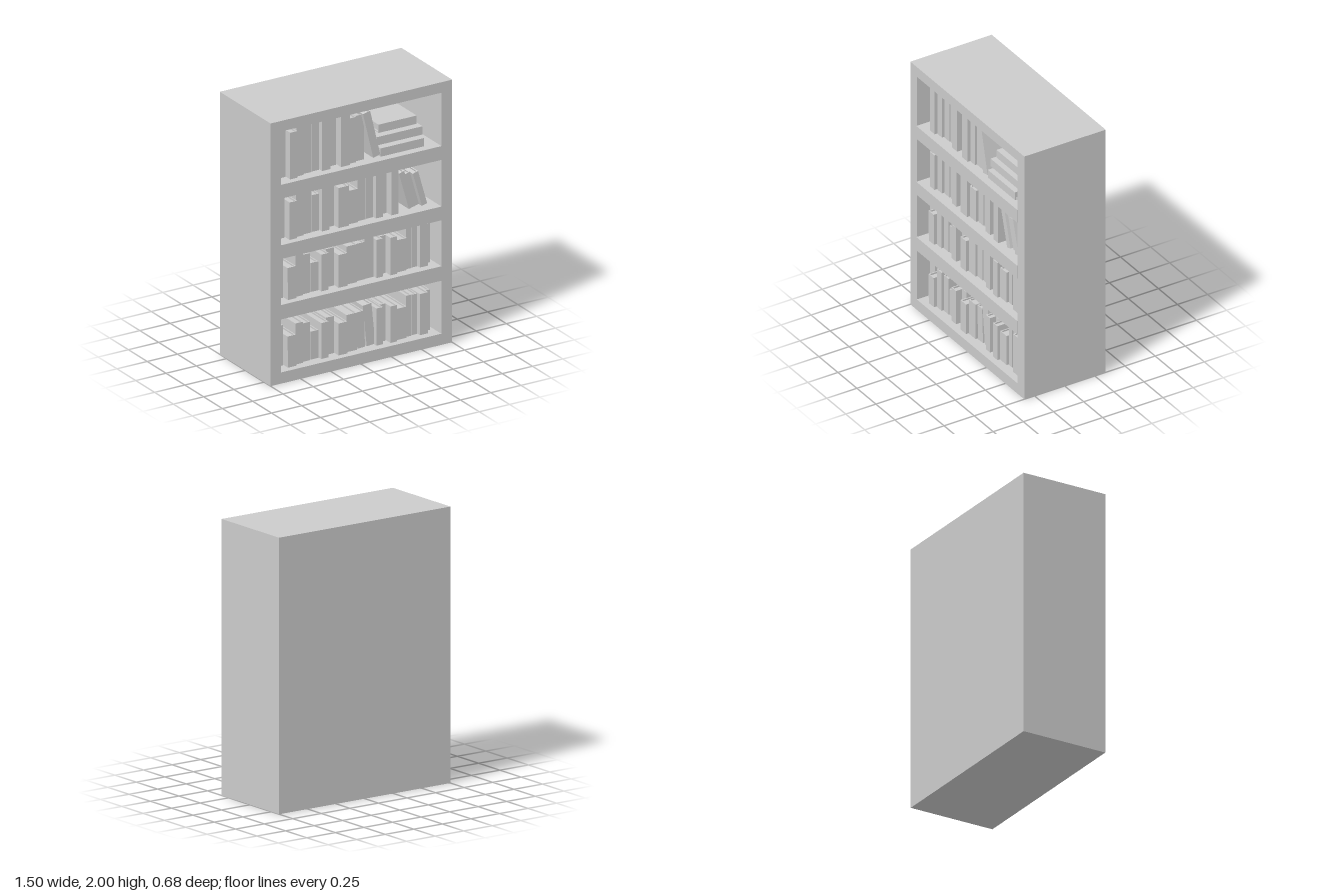
import * as THREE from 'three';

const material = new THREE.MeshStandardMaterial({ color: 0xcccccc, flatShading: true });
const front = 0.335, back = -0.34, inner = -0.265;
const left = 0.66, right = -0.665;

// Box given by its limits on each axis
function box(name, x0, x1, y0, y1, z0, z1) {
  const mesh = new THREE.Mesh(new THREE.BoxGeometry(x1 - x0, y1 - y0, z1 - z0), material);
  mesh.name = name;
  mesh.position.set((x0 + x1) / 2, (y0 + y1) / 2, (z0 + z1) / 2);
  return mesh;
}

// Hardback centred on (x, y), spine to the front, set back from the case front
function book(name, x, y, w, h, tilt, setback) {
  const g = new THREE.Group();
  g.name = name;
  const t = 0.008, inset = 0.012, d = 0.4;
  g.add(
    box('spine', -w / 2, w / 2, -h / 2, h / 2, -t, 0),
    box('leftCover', w / 2 - t, w / 2, -h / 2, h / 2, -d, -t),
    box('rightCover', -w / 2, -w / 2 + t, -h / 2, h / 2, -d, -t),
    box('pages', -w / 2 + t, w / 2 - t, -h / 2 + inset, h / 2 - inset, -d + inset, -t)
  );
  g.position.set(x, y, front - setback);
  g.rotation.z = THREE.MathUtils.degToRad(tilt);
  return g;
}

// Row of upright books: each fills the space up to the next start, less a gap.
// heightOf and tiltOf give the height and lean of the book at an index.
function bookRow(floor, starts, end, heightOf, tiltOf) {
  const row = new THREE.Group();
  row.name = 'bookRow';
  const setbacks = [0.1, 0.045, 0.065, 0.08, 0.085, 0.055];
  starts.forEach((x0, i) => {
    const x1 = (starts[i + 1] ?? end) - 0.006;
    const h = heightOf(i);
    row.add(book('uprightBook', (x0 + x1) / 2, floor + h / 2 + 0.001, x1 - x0, h, tiltOf(i), setbacks[i % 6]));
  });
  return row;
}

export function createModel() {
  const model = new THREE.Group();
  model.name = 'bookcase';

  // Case
  model.add(
    box('leftSide', left, 0.75, 0, 2, back, front),
    box('rightSide', -0.75, right, 0, 2, back, front),
    box('topBoard', right, left, 1.92, 2, back, front),
    box('base', right, left, 0, 0.085, back, front),
    box('backPanel', right, left, 0.085, 1.92, back, inner)
  );
  for (const [y0, y1] of [[0.49, 0.6], [0.95, 1.055], [1.41, 1.515]]) {
    model.add(box('shelf', right, left, y0, y1, inner, front + 0.003));
  }

  // Top shelf: nearly even heights, with a few shorter books
  const topShort = { 1: 0.355, 3: 0.375, 8: 0.345, 9: 0.345 };
  const topStarts = [-.64, -.56, -.495, -.43, -.355, -.29, -.215, -.14, -.06, .003];
  model.add(bookRow(1.515, topStarts, .076, (i) => topShort[i] ?? 0.39, () => 0));

  // Second shelf: books reach the shelf above except the short ones
  const secondShort = { 1: 0.285, 4: 0.28, 7: 0.305, 8: 0.255 };
  const secondStarts = [-.64, -.565, -.498, -.43, -.357, -.29, -.223, -.16, -.07, .018, .09, .153, .22, .275];
  model.add(bookRow(1.055, secondStarts, .342, (i) => secondShort[i] ?? 0.365, () => 0));

  // Lower two shelves share one arrangement; the bottom one has two leaning books
  const lowStarts = [-.65, -.58, -.505, -.435, -.368, -.297, -.23, -.16, -.082, .01,
    .08, .158, .217, .268, .33, .42, .47, .517, .592];
  const lowHeights = [.315, .245, .32, .3, .22, .28, .29, .25, .29, .285,
    .325, .29, .29, .285, .245, .32, .315, .32, .315];
  const bottomTilt = { 1: 1, 9: 2.5, 10: 6 };
  model.add(
    bookRow(0.6, lowStarts, .633, (i) => lowHeights[i], (i) => (i === 1 ? 1 : 0)),
    bookRow(0.085, lowStarts, .633, (i) => lowHeights[i] - 0.007, (i) => bottomTilt[i] ?? 0)
  );

  // Leaning books
  model.add(book('leaningBook', .116, 1.707, .06, .36, 13.5, .05));
  for (let i = 0; i < 3; i++) {
    const h = i === 0 ? 0.298 : 0.272;
    model.add(book('leaningBook', .41 + i * .0555, 1.065 + h / 2, .045, h, 16, .06 + (i % 2) * .02));
  }

  // Stack of books lying flat
  [[.369, .358], [.3675, .375], [.3675, .315]].forEach(([x, length], i) => {
    model.add(book('flatBook', x, 1.551 + i * .0775, .063, length, 90, .05 + i * .03));
  });
  return model;
}
